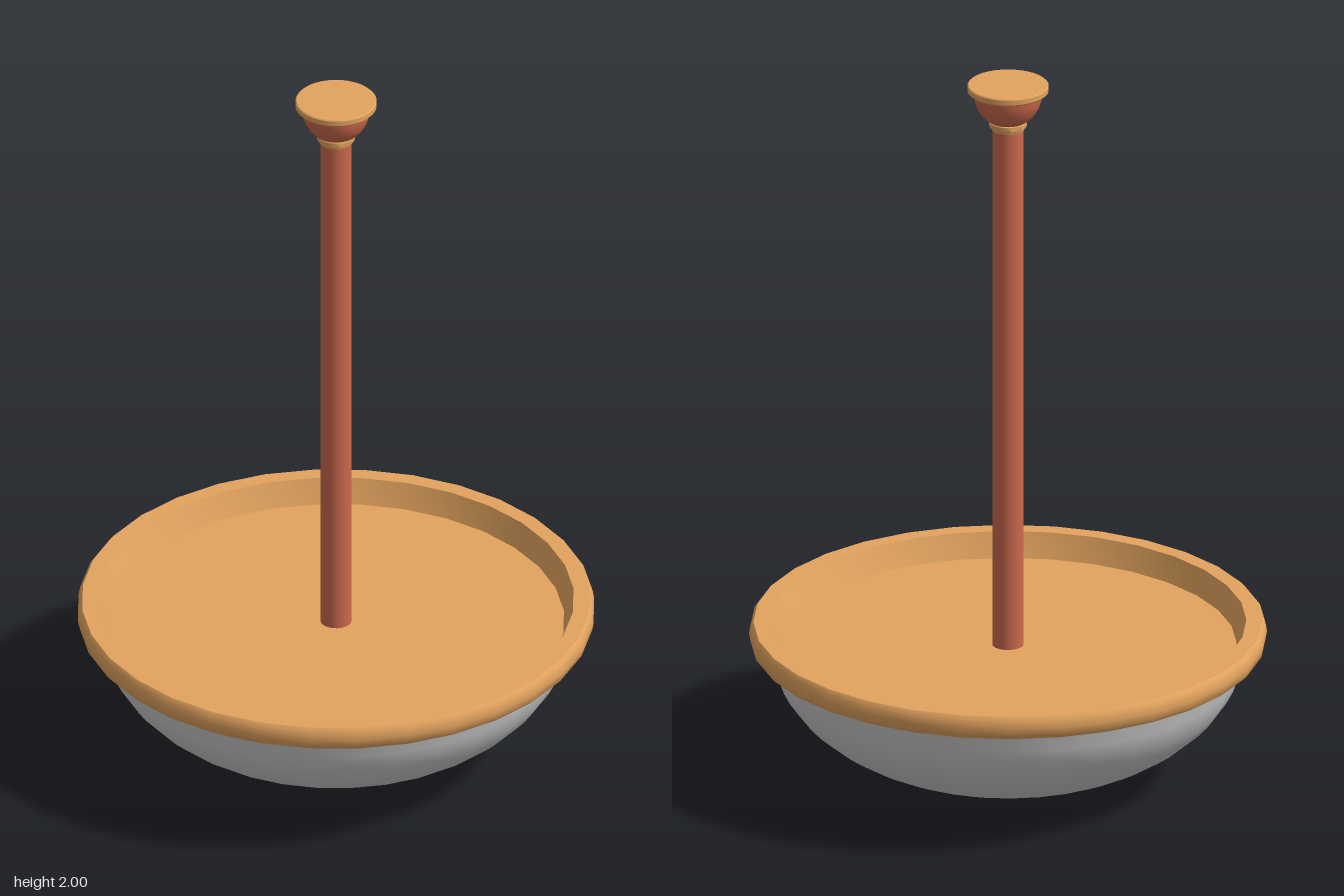
import * as THREE from 'three';
import { toCreasedNormals } from 'three/addons/utils/BufferGeometryUtils.js';

const grey = new THREE.MeshStandardMaterial({ color: 0xcccccc });
const brass = new THREE.MeshStandardMaterial({ color: 0xe3a45f });
const copper = new THREE.MeshStandardMaterial({ color: 0xcd694d });

// Turned part from [radius, height] pairs, listed upward along the outside
function turned(name, material, profile, segments = 32) {
  const points = profile.map(([r, y]) => new THREE.Vector2(r, y));
  const geometry = toCreasedNormals(new THREE.LatheGeometry(points, segments), 0.6);
  const mesh = new THREE.Mesh(geometry, material);
  mesh.name = name;
  return mesh;
}

export function createModel() {
  const group = new THREE.Group();
  group.name = 'pendantLamp';

  // Bowl: half an ellipse with a small lip tucked under the rim
  const bowlProfile = [];
  for (let i = 0; i <= 16; i++) {
    const a = (i / 16) * Math.PI / 2 * 0.97;
    bowlProfile.push([0.637 * Math.sin(a), 0.36 * (1 - Math.cos(a))]);
  }
  bowlProfile.push([0.643, 0.362], [0.655, 0.372]);
  group.add(turned('bowlShade', grey, bowlProfile));

  // Rim: rounded outer band, sloping inner wall and recessed floor
  group.add(turned('rimTray', brass, [
    [0.635, 0.37], [0.688, 0.37], [0.696, 0.38], [0.7, 0.402],
    [0.696, 0.425], [0.688, 0.435], [0.644, 0.435], [0.618, 0.367], [0, 0.367],
  ]));

  // Stem
  const stem = new THREE.Mesh(new THREE.CylinderGeometry(0.042, 0.042, 1.52, 32), copper);
  stem.name = 'stem';
  stem.position.y = 0.36 + 0.76;
  group.add(stem);

  // Ceiling mount: collar, cup and plate
  group.add(turned('mountCollar', brass, [
    [0, 1.87], [0.044, 1.87], [0.046, 1.877], [0.051, 1.88], [0.051, 1.893], [0.046, 1.897], [0, 1.897],
  ]));
  group.add(turned('mountCup', copper, [
    [0.046, 1.893], [0.06, 1.902], [0.074, 1.917], [0.085, 1.937], [0.092, 1.96], [0.094, 1.982],
  ]));
  group.add(turned('ceilingPlate', brass, [
    [0, 1.978], [0.104, 1.978], [0.11, 1.983], [0.11, 1.997], [0.107, 2], [0, 2],
  ], 64));

  return group;
}
